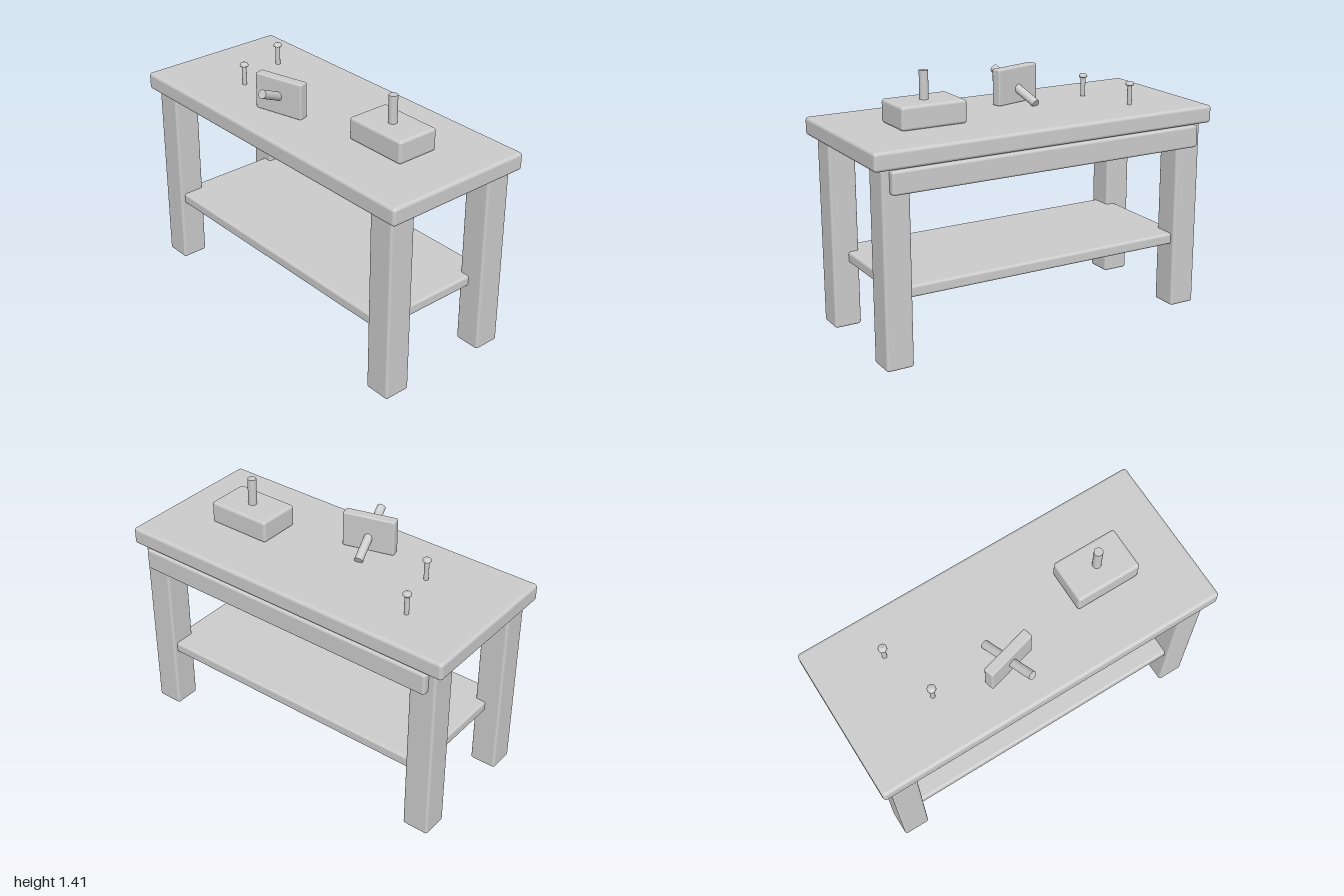
import * as THREE from 'three';
import { RoundedBoxGeometry } from 'three/addons/geometries/RoundedBoxGeometry.js';

export function createModel() {
  const model = new THREE.Group();
  model.name = 'workbench';
  const grey = new THREE.MeshStandardMaterial({ color: 0xcccccc });
  grey.name = 'plain grey';

  function add(parent, name, geometry, x, y, z) {
    const mesh = new THREE.Mesh(geometry, grey);
    mesh.name = name;
    mesh.position.set(x, y, z);
    parent.add(mesh);
    return mesh;
  }
  const block = (w, h, d, r) => new RoundedBoxGeometry(w, h, d, 3, r);
  const rod = (r, length) => new THREE.CylinderGeometry(r, r, length, 20);

  // Bench: top, legs, low shelf and back rail
  add(model, 'tabletop', block(2, 0.097, 0.87, 0.018), 0, 1.09, 0);
  for (const x of [-0.875, 0.875]) {
    for (const z of [-0.325, 0.325]) {
      add(model, 'leg', block(0.15, 1.045, 0.15, 0.014), x, 0.5225, z);
    }
  }
  add(model, 'shelf', block(1.72, 0.062, 0.75, 0.014), 0, 0.391, 0);
  add(model, 'backRail', block(1.82, 0.122, 0.06, 0.014), 0, 0.977, -0.407);

  // Block with an upright peg
  const pegBlock = new THREE.Group();
  pegBlock.name = 'pegBlock';
  pegBlock.position.set(0.52, 1.137, 0);
  model.add(pegBlock);
  add(pegBlock, 'woodBlock', block(0.37, 0.125, 0.246, 0.016), 0, 0.0625, 0);
  add(pegBlock, 'peg', rod(0.024, 0.165), 0, 0.193, 0);

  // Upright plate pierced by a slanted handle, turned on the bench
  const mallet = new THREE.Group();
  mallet.name = 'mallet';
  mallet.position.set(-0.126, 1.137, 0.186);
  mallet.rotation.y = THREE.MathUtils.degToRad(15);
  model.add(mallet);
  add(mallet, 'malletHead', block(0.29, 0.2, 0.057, 0.009), 0, 0.1, 0);
  const handle = add(mallet, 'malletHandle', rod(0.0235, 0.355), 0, 0.09, 0);
  handle.rotation.x = THREE.MathUtils.degToRad(65);

  // Nails standing on the bench, with tapered heads
  for (const [x, z] of [[-0.627, -0.19], [-0.53, 0.12]]) {
    const nail = new THREE.Group();
    nail.name = 'nail';
    nail.position.set(x, 1.137, z);
    model.add(nail);
    add(nail, 'nailShaft', rod(0.013, 0.112), 0, 0.056, 0);
    const profile = [[0, 0.106], [0.02, 0.107], [0.024, 0.112], [0.023, 0.119], [0.016, 0.127], [0, 0.129]];
    add(nail, 'nailHead', new THREE.LatheGeometry(profile.map(([r, y]) => new THREE.Vector2(r, y)), 20), 0, 0, 0);
  }
  return model;
}
